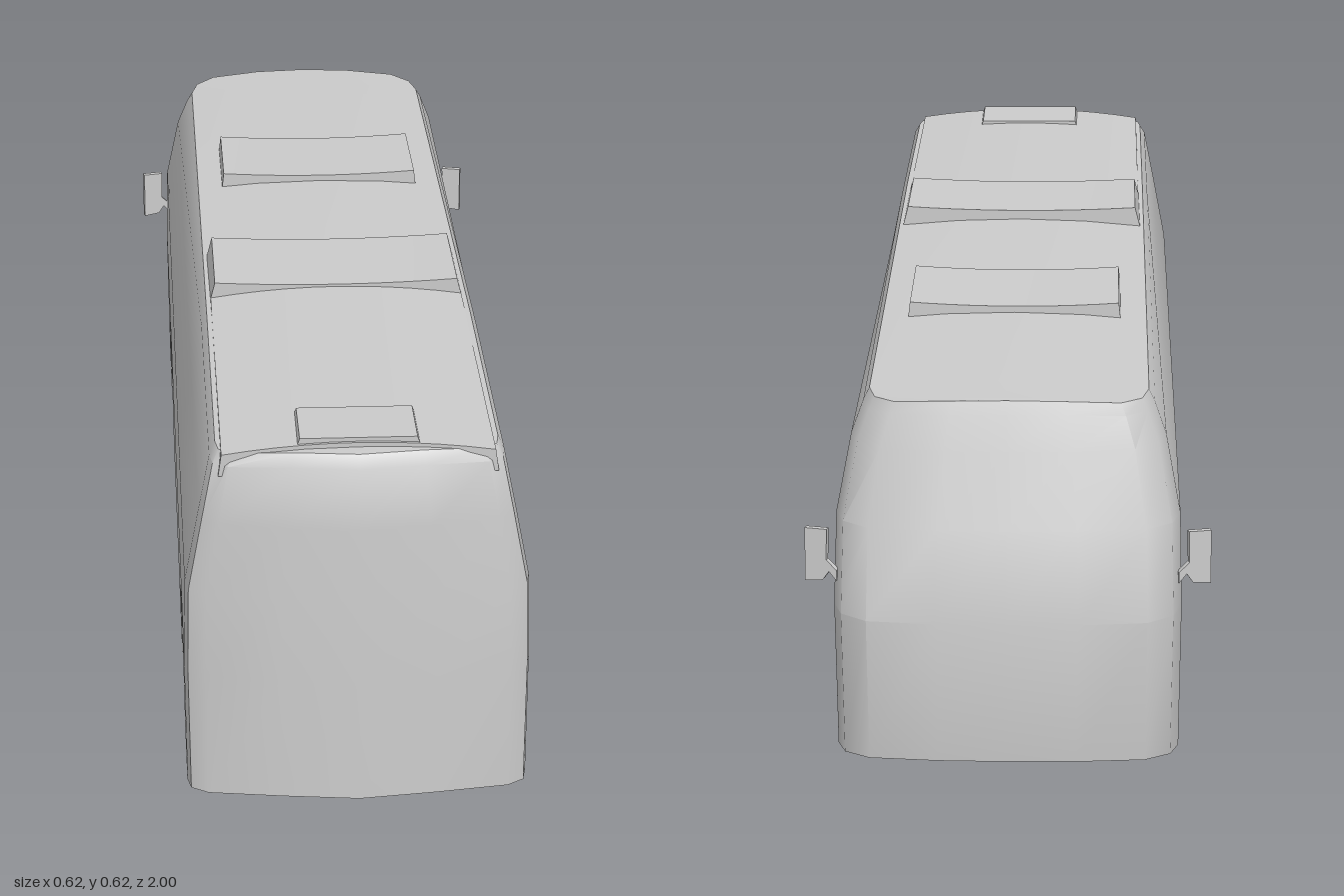
import * as THREE from 'three';
import { toCreasedNormals } from 'three/addons/utils/BufferGeometryUtils.js';

const { lerp } = THREE.MathUtils;
const material = new THREE.MeshStandardMaterial({ color: 0xcccccc, side: THREE.DoubleSide });

// Underside height and roof edge height along the length
const floorY = z => z > 0.7 ? lerp(0.02, 0.042, (z - 0.7) / 0.3)
  : z > -0.88 ? lerp(0.005, 0.02, (z + 0.88) / 1.58)
  : lerp(0.005, 0.014, (-0.88 - z) / 0.1);
const roofY = z => Math.min(0.597, 0.582 + 0.0336 * z);

// Body levels: height rule, half width, +z end, -z end, crown across the width
const LEVELS = [
  { y: floorY, w: 0.262, zp: 1.0, zn: -0.98, c: 0 },
  { y: () => 0.24, w: 0.2645, zp: 0.998, zn: -1.0, c: 0 },
  { y: () => 0.375, w: 0.262, zp: 0.994, zn: -0.962, c: 0 },
  { y: () => 0.49, w: 0.24, zp: 0.989, zn: -0.928, c: 0 },
  { y: z => roofY(z) - 0.016, w: 0.222, zp: 0.984, zn: -0.913, c: 0.008 },
  { y: roofY, w: 0.213, zp: 0.972, zn: -0.906, c: 0.012 },
  { y: roofY, w: 0.11, zp: 0.972, zn: -0.906, c: 0.012 },
  { y: roofY, w: 0, zp: 0.972, zn: -0.906, c: 0.012 },
];

// Plan outline of one half: width fraction and inset from each end
const END_P = [[0, 0], [0.45, 0.016], [0.88, 0.035], [0.98, 0.055], [1, 0.085]];
const END_N = [[1, 0.1], [0.95, 0.05], [0.8, 0.016], [0.4, 0.003], [0, 0]];

// Wheel arches: centres along z and half outline (offset, height)
const ARCHES = [-0.54, 0.58];
const ARCH = [[-0.125, 0], [-0.138, 0.07], [-0.1, 0.15], [-0.05, 0.198],
  [0.05, 0.198], [0.1, 0.15], [0.138, 0.07], [0.125, 0]];
const archPoints = zc => ARCH.map(([dz, y]) => [zc + dz, y || floorY(zc + dz)]);
const POCKET_X = 0.095;

function ring({ y, w, zp, zn, c }) {
  const half = [
    ...END_P.map(([f, d]) => [f * w, zp - d]),
    [w, 0.4],
    ...END_N.map(([f, d]) => [f * w, zn + d]),
  ];
  const loop = [...half, ...half.slice(1, -1).reverse().map(([x, z]) => [-x, z])];
  return loop.map(([x, z]) => [x, y(z) + c * (1 - (x / 0.213) ** 2), z]);
}

function bufferGeometry(points, index) {
  const g = new THREE.BufferGeometry();
  g.setAttribute('position', new THREE.Float32BufferAttribute(points.flat(), 3));
  g.setIndex(index);
  return g;
}

// Shell lofted upward; the lower band leaves both long sides open for the arch panels
function shellGeometry() {
  const rings = LEVELS.map(ring);
  const n = rings[0].length;
  const index = [];
  for (let r = 0; r < rings.length - 1; r++) {
    for (let i = 0; i < n; i++) {
      if (r === 0 && [4, 5, n - 6, n - 5].includes(i)) continue;
      const a = r * n + i, b = r * n + (i + 1) % n;
      index.push(a, b, b + n, a, b + n, a + n);
    }
  }
  return toCreasedNormals(bufferGeometry(rings.flat(), index), 0.62);
}

// Lower side wall with the wheel openings cut out
function sidePanelGeometry() {
  const [low, high] = LEVELS;
  const z0 = low.zn + 0.1, z1 = low.zp - 0.085;
  const outline = [[z0, floorY(z0)], ...ARCHES.flatMap(archPoints), [z1, floorY(z1)],
    [high.zp - 0.085, 0.24], [high.zn + 0.1, 0.24]];
  const g = new THREE.ShapeGeometry(new THREE.Shape(outline.map(p => new THREE.Vector2(...p))));
  const p = g.attributes.position;
  for (let i = 0; i < p.count; i++) {
    const z = p.getX(i), y = p.getY(i);
    p.setXYZ(i, lerp(low.w, high.w, y / 0.24), y, z);
  }
  g.computeVertexNormals();
  return g;
}

// Underside with rectangular notches at the wheels
function floorGeometry() {
  const base = ring(LEVELS[0]);
  const right = [], w = LEVELS[0].w;
  for (const zc of ARCHES) {
    right.push([w, zc - 0.125], [POCKET_X, zc - 0.125], [POCKET_X, zc + 0.125], [w, zc + 0.125]);
  }
  const ends = base.map(([x, , z]) => [x, z]);
  const half = [...ends.slice(0, 5), ...right.reverse(), ...ends.slice(6, 11)];
  const loop = [...half, ...half.slice(1, -1).reverse().map(([x, z]) => [-x, z])];
  const g = new THREE.ShapeGeometry(new THREE.Shape(loop.map(p => new THREE.Vector2(...p))));
  const p = g.attributes.position;
  for (let i = 0; i < p.count; i++) {
    const x = p.getX(i), z = p.getY(i);
    p.setXYZ(i, x, floorY(z), z);
  }
  g.computeVertexNormals();
  return g;
}

// Wheel pocket: faceted lining plus inner wall
function pocketGeometry(zc) {
  const pts = archPoints(zc), n = pts.length;
  const points = [
    ...pts.map(([z, y]) => [lerp(0.262, 0.2645, y / 0.24), y, z]),
    ...pts.map(([z, y]) => [POCKET_X, y, z]),
  ];
  const index = [];
  for (let i = 0; i < n - 1; i++) index.push(i, i + n, i + 1, i + 1, i + n, i + n + 1);
  for (let i = 1; i < n - 1; i++) index.push(n, n + i + 1, n + i);
  return toCreasedNormals(bufferGeometry(points, index), 0.2);
}

// Roof unit with a bowed top, sunk into the roof
function roofPanelGeometry(hwTop, hwBase, z0, z1, y0, y1, bow) {
  const g = new THREE.BoxGeometry(2, 1, 1, 10, 1, 1);
  const p = g.attributes.position;
  for (let i = 0; i < p.count; i++) {
    const u = p.getX(i), top = p.getY(i) > 0, t = p.getZ(i) + 0.5;
    const y = lerp(y0, y1, t);
    p.setXYZ(i, u * (top ? hwTop : hwBase), top ? y + bow * (1 - u * u) : y - 0.035, lerp(z0, z1, t));
  }
  return toCreasedNormals(g, 0.6);
}

// Mirror plate hanging on a short arm
function mirrorGeometry() {
  const outline = [[0, 0.278], [0.012, 0.292], [0.022, 0.278], [0.05, 0.275], [0.05, 0.359],
    [0.015, 0.359], [0.016, 0.31], [0, 0.295]];
  const shape = new THREE.Shape(outline.map(p => new THREE.Vector2(...p)));
  return new THREE.ExtrudeGeometry(shape, { depth: 0.01, bevelEnabled: false });
}

export function createModel() {
  const model = new THREE.Group();
  model.name = 'bus';
  const add = (name, geometry, parent = model) => {
    const mesh = new THREE.Mesh(geometry, material);
    mesh.name = name;
    parent.add(mesh);
    return mesh;
  };

  add('bodyShell', shellGeometry());
  add('floor', floorGeometry());

  // Roof units
  add('raisedRoof', roofPanelGeometry(0.205, 0.21, 0.32, 0.945, 0.596, 0.6, 0.016));
  add('roofVent', roofPanelGeometry(0.088, 0.1, 0.82, 0.94, 0.619, 0.622, 0));
  add('largeRoofHatch', roofPanelGeometry(0.198, 0.207, 0.11, 0.32, 0.619, 0.622, -0.006));
  add('smallRoofHatch', roofPanelGeometry(0.168, 0.172, -0.45, -0.24, 0.595, 0.602, -0.006));

  // Side parts, mirrored left to right
  for (const [label, s] of [['left', 1], ['right', -1]]) {
    const side = new THREE.Group();
    side.name = label + 'Side';
    side.scale.x = s;
    add(label + 'LowerPanel', sidePanelGeometry(), side);
    ARCHES.forEach((zc, i) => add(label + 'WheelArch' + (i + 1), pocketGeometry(zc), side));
    const mirror = add(label + 'Mirror', mirrorGeometry(), side);
    mirror.position.set(0.26, 0, -0.91);
    mirror.rotation.y = -0.25;
    model.add(side);
  }
  return model;
}
